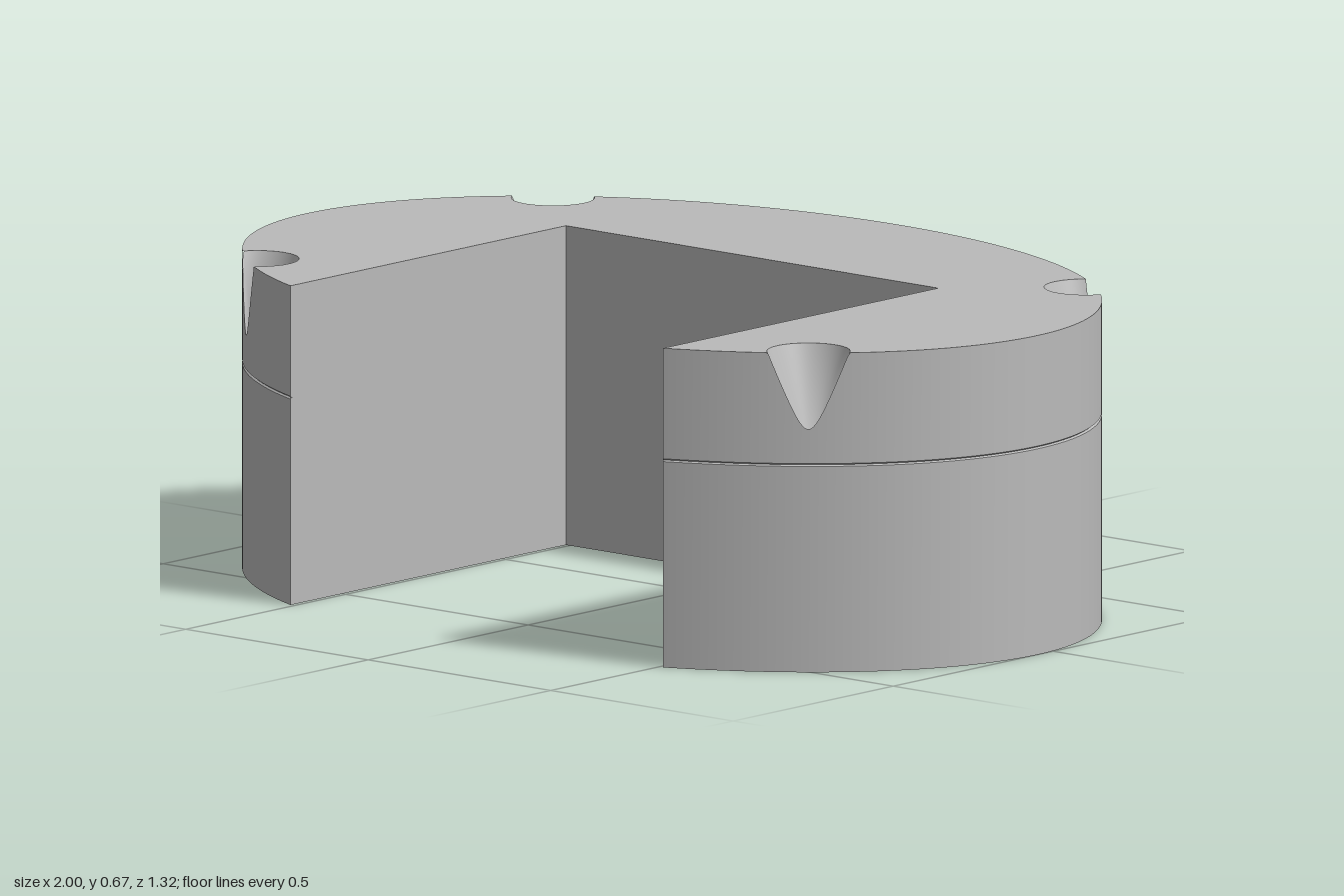
import * as THREE from 'three';

const H = 0.67, B = 0.71, CZ = 0.05;          // height, ellipse depth radius, ellipse centre z
const SLOT = 0.51, SLOT_BACK = -0.2;          // slot half width and back plane
const R = 0.086, DEPTH = 0.22;                // conical notch radius and depth
const GROOVE = 0.435, SEG = 720;
const START = -Math.acos(SLOT), SWEEP = Math.PI - 2 * START;
const NOTCHES = [[0.73, -0.41], [-0.73, -0.41], [-0.755, 0.485], [0.755, 0.485]];

// Point on the oval rim; angles run anticlockwise seen from above
const rim = (t, inset = 0) => ({
  x: (1 - inset) * Math.cos(t),
  z: CZ - (B - inset) * Math.sin(t),
});
const notchAt = (p) => NOTCHES.find(([x, z]) => Math.hypot(p.x - x, p.z - z) < R);

// Height of the rim, dipping where a cone cuts through the wall
function rimHeight(t) {
  const p = rim(t), n = notchAt(p);
  return n ? H - DEPTH * (1 - Math.hypot(p.x - n[0], p.z - n[1]) / R) : H;
}

// Band of the oval wall between two heights
function band(low, high, insetLow = 0, insetHigh = 0) {
  const g = new THREE.PlaneGeometry(1, 1, SEG, 1), a = g.attributes.position;
  for (let i = 0; i < a.count; i++) {
    const t = START + SWEEP * (a.getX(i) + 0.5), up = a.getY(i) > 0;
    const p = rim(t, up ? insetHigh : insetLow);
    a.setXYZ(i, p.x, up ? high(t) : low, p.z);
  }
  g.computeVertexNormals();
  return g;
}

// C-shaped outline, optionally bitten by the notches
function outline(bitten) {
  const pts = [];
  let current = null, enter = 0;
  for (let i = 0; i <= SEG; i++) {
    const p = rim(START + SWEEP * i / SEG), n = bitten ? notchAt(p) : null;
    if (n && !current) {
      current = n;
      enter = Math.atan2(n[1] - p.z, p.x - n[0]);
    } else if (!n && current) {
      // inner arc, clockwise from entry to exit
      const exit = Math.atan2(current[1] - p.z, p.x - current[0]);
      let sweep = enter - exit;
      if (sweep < 0) sweep += Math.PI * 2;
      for (let k = 0; k <= 24; k++) {
        const f = enter - sweep * k / 24;
        pts.push(new THREE.Vector2(current[0] + R * Math.cos(f), -current[1] + R * Math.sin(f)));
      }
      current = null;
    }
    if (!n) pts.push(new THREE.Vector2(p.x, -p.z));
  }
  pts.push(new THREE.Vector2(-SLOT, -SLOT_BACK), new THREE.Vector2(SLOT, -SLOT_BACK));
  return pts;
}

// Inner surface of a conical notch, trimmed by the oval wall
function notchGeometry([cx, cz]) {
  const n = 96, pos = [], index = [];
  pos.push(cx, H - DEPTH, cz);
  for (let i = 0; i <= n; i++) {
    const f = i / n * Math.PI * 2, dx = Math.cos(f), dz = -Math.sin(f);
    const a = dx * dx + (dz / B) ** 2;
    const b = cx * dx + (cz - CZ) * dz / (B * B);
    const c = cx * cx + ((cz - CZ) / B) ** 2 - 1;
    const r = Math.min(R, (-b + Math.sqrt(b * b - a * c)) / a);
    pos.push(cx + r * dx, H - DEPTH * (1 - r / R), cz + r * dz);
    if (i < n) index.push(0, i + 1, i + 2);
  }
  const g = new THREE.BufferGeometry();
  g.setAttribute('position', new THREE.Float32BufferAttribute(pos, 3));
  g.setIndex(index);
  g.computeVertexNormals();
  return g;
}

export function createModel() {
  const model = new THREE.Group();
  model.name = 'slottedOvalBlock';
  const grey = new THREE.MeshStandardMaterial({ color: 0xbababa });
  grey.name = 'grey';
  const add = (name, geometry) => {
    const m = new THREE.Mesh(geometry, grey);
    m.name = name;
    model.add(m);
    return m;
  };

  // Oval wall with a hairline groove
  const gap = 0.003, inset = 0.004;
  add('lowerWall', band(0, () => GROOVE - gap));
  add('grooveLower', band(GROOVE - gap, () => GROOVE, 0, inset));
  add('grooveUpper', band(GROOVE, () => GROOVE + gap, inset, 0));
  add('upperWall', band(GROOVE + gap, rimHeight));

  // Top and bottom faces
  const top = new THREE.ShapeGeometry(new THREE.Shape(outline(true)));
  add('topFace', top.rotateX(-Math.PI / 2).translate(0, H, 0));
  const base = outline(false).map((p) => new THREE.Vector2(p.x, -p.y));
  add('bottomFace', new THREE.ShapeGeometry(new THREE.Shape(base)).rotateX(Math.PI / 2));

  // Slot walls
  const front = rim(START).z, length = front - SLOT_BACK;
  add('slotBack', new THREE.PlaneGeometry(SLOT * 2, H)).position.set(0, H / 2, SLOT_BACK);
  for (const s of [1, -1]) {
    const side = add(s > 0 ? 'slotLeft' : 'slotRight', new THREE.PlaneGeometry(length, H));
    side.rotation.y = -s * Math.PI / 2;
    side.position.set(s * SLOT, H / 2, SLOT_BACK + length / 2);
  }

  // Conical notches in the top rim
  NOTCHES.forEach((n) => add('notch', notchGeometry(n)));
  return model;
}
